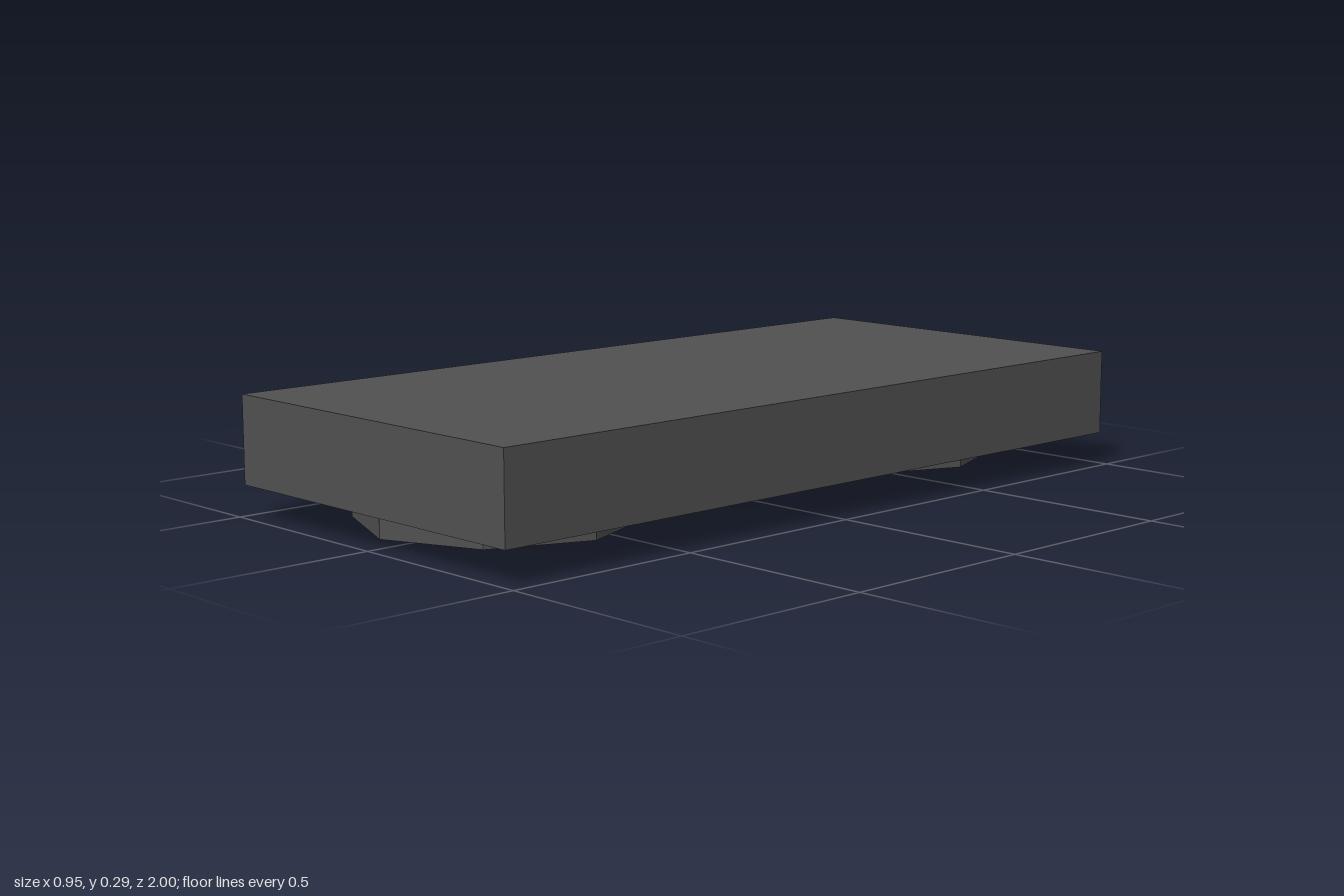
import * as THREE from 'three';

const material = new THREE.MeshStandardMaterial({ color: 0x505050, flatShading: true });

function part(name, geometry, x, y, z) {
  const mesh = new THREE.Mesh(geometry, material);
  mesh.name = name;
  mesh.position.set(x, y, z);
  return mesh;
}

// Octagonal dish, recessed from below, with a small central hub
function createFoot(name, z) {
  const foot = new THREE.Group();
  foot.name = name;
  foot.position.set(-0.0025, 0, z);
  const profile = [[0, 0.045], [0.31, 0.045], [0.31, 0.021], [0.338, 0.021], [0.338, 0.08]]
    .map(([r, y]) => new THREE.Vector2(r, y));
  foot.add(part('dish', new THREE.LatheGeometry(profile, 8), 0, 0, 0));
  foot.add(part('hub', new THREE.CylinderGeometry(0.07, 0.07, 0.045, 8), 0, 0.0225, 0));
  return foot;
}

export function createModel() {
  const model = new THREE.Group();
  model.name = 'slab';

  // Main rectangular block
  model.add(part('block', new THREE.BoxGeometry(0.95, 0.214, 2), 0, 0.187, 0));

  // Feet under the front and back halves
  model.add(createFoot('frontFoot', 0.627));
  model.add(createFoot('backFoot', -0.607));
  return model;
}
